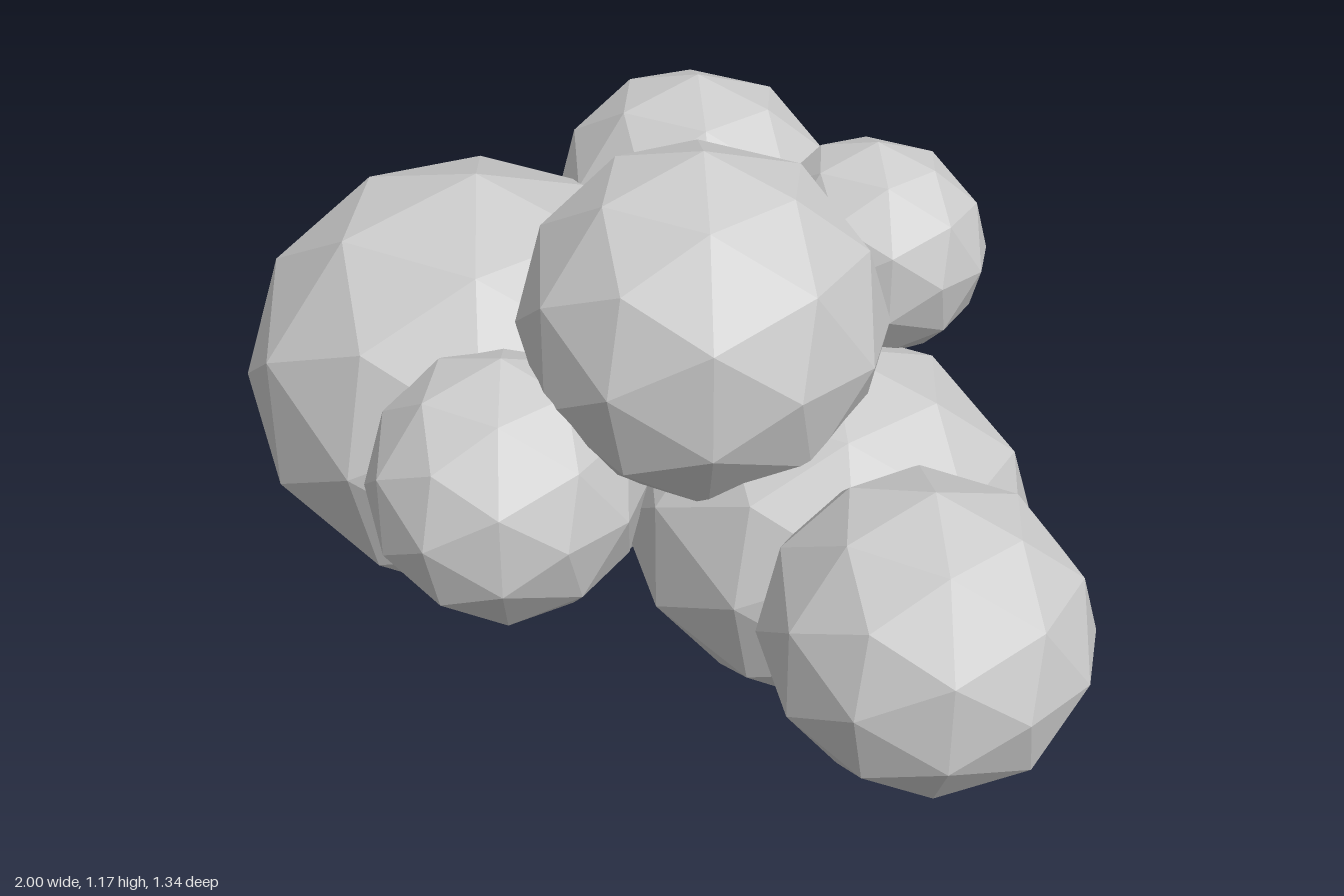
import * as THREE from 'three';

// Each puff: name, centre, radii
const PUFFS = [
  ['largeLeftPuff', [-0.47, 0.485, 0.03], [0.53, 0.475, 0.485]],
  ['lowerMiddlePuff', [0.335, 0.384, 0.005], [0.43, 0.382, 0.38]],
  ['topPuff', [0.115, 0.82, 0.12], [0.365, 0.355, 0.35]],
  ['smallFrontPuff', [-0.175, 0.505, 0.385], [0.28, 0.28, 0.28]],
  ['rightPuff', [0.68, 0.395, 0.275], [0.32, 0.306, 0.305]],
  ['backTopPuff', [-0.19, 0.785, -0.395], [0.32, 0.3, 0.28]],
  ['smallTopPuff', [0.295, 0.865, -0.255], [0.235, 0.225, 0.205]],
  ['lowerBackPuff', [-0.035, 0.46, -0.28], [0.36, 0.35, 0.35]],
];

export function createModel() {
  const cloud = new THREE.Group();
  cloud.name = 'cloud';
  const material = new THREE.MeshStandardMaterial({ color: 0xcccccc, flatShading: true });
  // One faceted ball, stretched for every puff
  const ball = new THREE.IcosahedronGeometry(1, 1);

  for (const [name, centre, radii] of PUFFS) {
    const puff = new THREE.Mesh(ball, material);
    puff.name = name;
    puff.position.set(...centre);
    puff.scale.set(...radii);
    cloud.add(puff);
  }
  return cloud;
}
